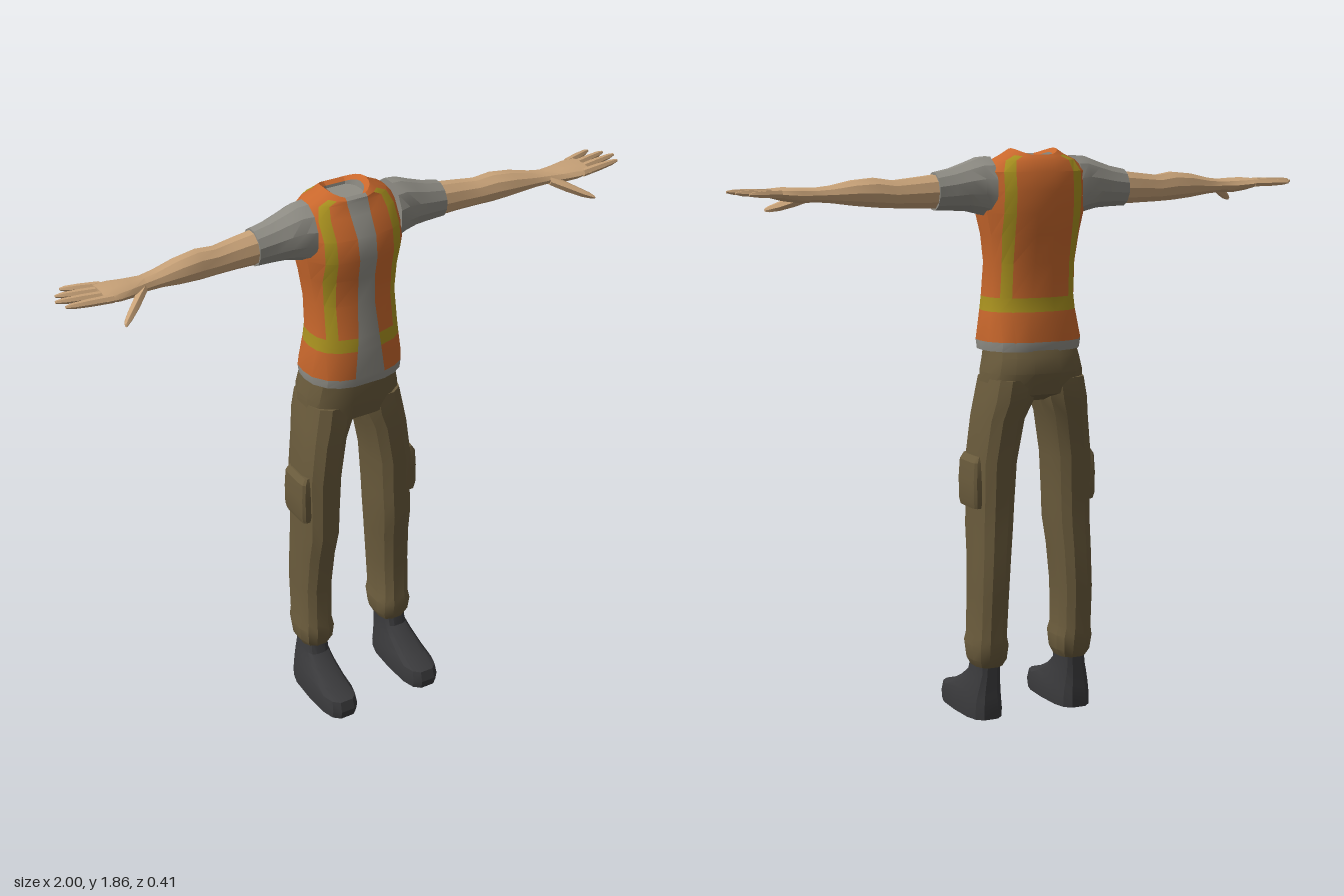
import * as THREE from 'three';
import { toCreasedNormals } from 'three/addons/utils/BufferGeometryUtils.js';

const paint = (name, color) => {
  const m = new THREE.MeshStandardMaterial({ color });
  m.name = name;
  return m;
};

// Skins a stack of rings and caps both ends; pick(row, column) chooses the material.
function loft(name, rings, pick) {
  const buckets = new Map();
  const tri = (mat, ...pts) => {
    if (!buckets.has(mat)) buckets.set(mat, []);
    pts.forEach((p) => buckets.get(mat).push(...p));
  };
  const n = rings[0].length;
  const last = rings.length - 1;
  const centre = (r) => [0, 1, 2].map((k) => r.reduce((s, p) => s + p[k], 0) / n);
  const c0 = centre(rings[0]), c1 = centre(rings[last]);
  for (let i = 0; i < n; i++) {
    const j = (i + 1) % n;
    for (let r = 0; r < last; r++) {
      const a = rings[r], b = rings[r + 1], mat = pick(r, i);
      tri(mat, a[i], a[j], b[j]);
      tri(mat, a[i], b[j], b[i]);
    }
    tri(pick(-1, i), c0, rings[0][j], rings[0][i]);
    tri(pick(last, i), c1, rings[last][i], rings[last][j]);
  }
  const geo = new THREE.BufferGeometry();
  const pos = [], mats = [...buckets.keys()];
  mats.forEach((m, k) => {
    geo.addGroup(pos.length / 3, buckets.get(m).length / 3, k);
    for (const v of buckets.get(m)) pos.push(v);
  });
  geo.setAttribute('position', new THREE.Float32BufferAttribute(pos, 3));
  const mesh = new THREE.Mesh(toCreasedNormals(geo, 0.45), mats.length > 1 ? mats : mats[0]);
  mesh.name = name;
  return mesh;
}

const power = (v, p) => Math.sign(v) * Math.pow(Math.abs(v), 2 / p);

// Horizontal ring between x0..x1 and z0..z1
function flatRing([y, x0, x1, z0, z1], p, n) {
  return Array.from({ length: n }, (_, i) => {
    const a = ((i + 0.5) / n) * Math.PI * 2;
    return [(x0 + x1) / 2 + ((x1 - x0) / 2) * power(Math.sin(a), p), y,
      (z0 + z1) / 2 + ((z1 - z0) / 2) * power(Math.cos(a), p)];
  });
}
const column = (name, mat, rows, p = 2.6, n = 12) =>
  loft(name, rows.map((r) => flatRing(r, p, n)), () => mat);

// Limb along x: rows of x, y, z, half height, half depth
const limb = (name, mat, rows, n = 10) =>
  loft(name, rows.map(([x, y, z, ry, rz]) => Array.from({ length: n }, (_, i) => {
    const a = ((i + 0.5) / n) * Math.PI * 2;
    return [x, y + ry * Math.cos(a), z + rz * Math.sin(a)];
  })), () => mat);

// Torso ring whose columns follow the edges of the vest stripes
function vestRing([y, hw, z0, z1, opening, dip = 0]) {
  const zc = (z0 + z1) / 2, hd = (z1 - z0) / 2;
  const q = [opening, Math.min(0.1, hw * 0.66), Math.min(0.135, hw * 0.86), hw * 0.965, hw];
  const at = (x, s) => {
    const d = Math.pow(Math.max(0, 1 - Math.pow(Math.abs(x) / hw, 2.4)), 1 / 2.4);
    return [x, y - dip * d * d, zc + s * hd * d];
  };
  const back = q.slice(0, 4).reverse();
  return [
    ...q.map((x) => at(x, 1)), ...back.map((x) => at(x, -1)),
    ...q.map((x) => at(-x, -1)), ...back.map((x) => at(-x, 1)),
  ];
}

export function createModel() {
  const orange = paint('vest orange', 0xc8672c);
  const yellow = paint('reflective yellow', 0xaa921f);
  const grey = paint('shirt grey', 0x8e8c84);
  const olive = paint('trouser olive', 0x6a5b3c);
  const skin = paint('skin', 0xc8a278);
  const black = paint('boot black', 0x3a3a3c);
  const model = new THREE.Group();
  model.name = 'worker';

  // Torso: y, half width, back z, front z, half width of the vest opening, neckline dip
  const torso = [
    [1.22, 0.168, -0.19, 0.073, 0.055],
    [1.25, 0.172, -0.193, 0.076, 0.054],
    [1.345, 0.157, -0.172, 0.07, 0.043],
    [1.39, 0.152, -0.168, 0.066, 0.038],
    [1.5, 0.15, -0.175, 0.048, 0.031],
    [1.59, 0.162, -0.188, 0.05, 0.03],
    [1.66, 0.178, -0.198, 0.063, 0.031],
    [1.73, 0.183, -0.2, 0.052, 0.033],
    [1.79, 0.174, -0.192, 0.015, 0.035],
    [1.825, 0.14, -0.177, -0.004, 0.037],
    [1.845, 0.1, -0.168, -0.005, 0.037, 0.01],
    [1.862, 0.076, -0.162, -0.015, 0.036, 0.022],
    [1.848, 0.06, -0.148, -0.03, 0.034, 0.018],
    [1.825, 0.058, -0.146, -0.032, 0.033],
  ].map(vestRing);
  const stripes = [1, 6, 10, 15];
  model.add(loft('vest', torso, (r, c) => {
    if (r <= 0 || r >= 12 || c === 17) return grey;
    if (r === 2) return yellow;
    return r >= 3 && r <= 9 && stripes.includes(c) ? yellow : orange;
  }));

  // Seat and waist of the trousers
  model.add(column('trouserSeat', olive, [
    [1.055, -0.07, 0.07, -0.13, 0.0],
    [1.08, -0.172, 0.172, -0.185, 0.038],
    [1.15, -0.17, 0.17, -0.206, 0.048],
    [1.2, -0.158, 0.158, -0.2, 0.05],
    [1.24, -0.152, 0.152, -0.18, 0.05],
  ], 2.5, 16));

  // Everything on the left side, mirrored for the right
  const side = new THREE.Group();
  side.name = 'leftLimbs';
  side.add(column('trouserLeg', olive, [
    [0.175, 0.105, 0.2, -0.118, 0.004],
    [0.2, 0.092, 0.214, -0.135, 0.018],
    [0.25, 0.088, 0.219, -0.146, 0.027],
    [0.28, 0.096, 0.213, -0.145, 0.02],
    [0.42, 0.092, 0.213, -0.155, 0.016],
    [0.55, 0.083, 0.209, -0.156, 0.028],
    [0.64, 0.074, 0.207, -0.154, 0.045],
    [0.72, 0.07, 0.205, -0.155, 0.043],
    [0.86, 0.062, 0.207, -0.162, 0.045],
    [1.0, 0.038, 0.191, -0.173, 0.042],
    [1.06, 0.012, 0.182, -0.19, 0.04],
    [1.13, 0.005, 0.168, -0.19, 0.035],
  ]));
  side.add(column('cargoPocket', olive, [
    [0.71, 0.17, 0.218, -0.115, 0.012],
    [0.73, 0.165, 0.223, -0.12, 0.016],
    [0.8, 0.165, 0.224, -0.12, 0.016],
    [0.86, 0.165, 0.22, -0.118, 0.014],
    [0.88, 0.17, 0.207, -0.11, 0.008],
  ], 5, 12));
  side.add(column('boot', black, [
    [0, 0.1, 0.225, -0.118, 0.2],
    [0.03, 0.098, 0.226, -0.12, 0.206],
    [0.065, 0.102, 0.222, -0.119, 0.195],
    [0.085, 0.106, 0.217, -0.117, 0.13],
    [0.12, 0.111, 0.208, -0.115, 0.055],
    [0.15, 0.114, 0.2, -0.114, 0.014],
    [0.2, 0.113, 0.196, -0.112, 0],
  ], 3.2, 14));

  // Sleeve, arm and palm
  side.add(limb('sleeve', grey, [
    [0.15, 1.74, -0.07, 0.1, 0.085],
    [0.185, 1.745, -0.07, 0.092, 0.077],
    [0.23, 1.742, -0.07, 0.078, 0.068],
    [0.28, 1.735, -0.07, 0.068, 0.06],
    [0.336, 1.73, -0.07, 0.061, 0.056],
  ], 12));
  side.add(limb('arm', skin, [
    [0.325, 1.73, -0.07, 0.056, 0.052],
    [0.4, 1.727, -0.068, 0.05, 0.048],
    [0.47, 1.724, -0.063, 0.045, 0.044],
    [0.53, 1.73, -0.056, 0.048, 0.048],
    [0.6, 1.73, -0.049, 0.041, 0.046],
    [0.67, 1.727, -0.042, 0.028, 0.038],
    [0.72, 1.726, -0.036, 0.023, 0.035],
    [0.77, 1.726, -0.032, 0.025, 0.046],
    [0.82, 1.73, -0.03, 0.022, 0.058],
    [0.865, 1.734, -0.03, 0.014, 0.06],
  ]));

  // Fingers: base z, then x, y and z of the tip
  const fingers = [
    ['littleFinger', -0.076, 0.953, 1.735, -0.112],
    ['ringFinger', -0.046, 0.984, 1.738, -0.073],
    ['middleFinger', -0.014, 1.0, 1.741, -0.034],
    ['indexFinger', 0.016, 0.985, 1.739, 0.006],
  ];
  for (const [name, z, tx, ty, tz] of fingers) {
    const mid = (a, b, t) => a + (b - a) * t;
    side.add(limb(name, skin, [[0, 0.013, 0.015], [0.5, 0.012, 0.013], [0.85, 0.009, 0.01], [1, 0.004, 0.005]]
      .map(([t, ry, rz]) => [mid(0.84, tx, t), mid(1.733, ty, t), mid(z, tz, t), ry, rz]), 6));
  }
  side.add(limb('thumb', skin, [
    [0.725, 1.722, -0.015, 0.016, 0.02],
    [0.765, 1.706, 0.02, 0.019, 0.024],
    [0.805, 1.688, 0.055, 0.015, 0.02],
    [0.83, 1.679, 0.078, 0.01, 0.014],
    [0.838, 1.676, 0.088, 0.005, 0.007],
  ], 6));

  const mirrored = side.clone();
  mirrored.name = 'rightLimbs';
  mirrored.scale.x = -1;
  model.add(side, mirrored);
  return model;
}
